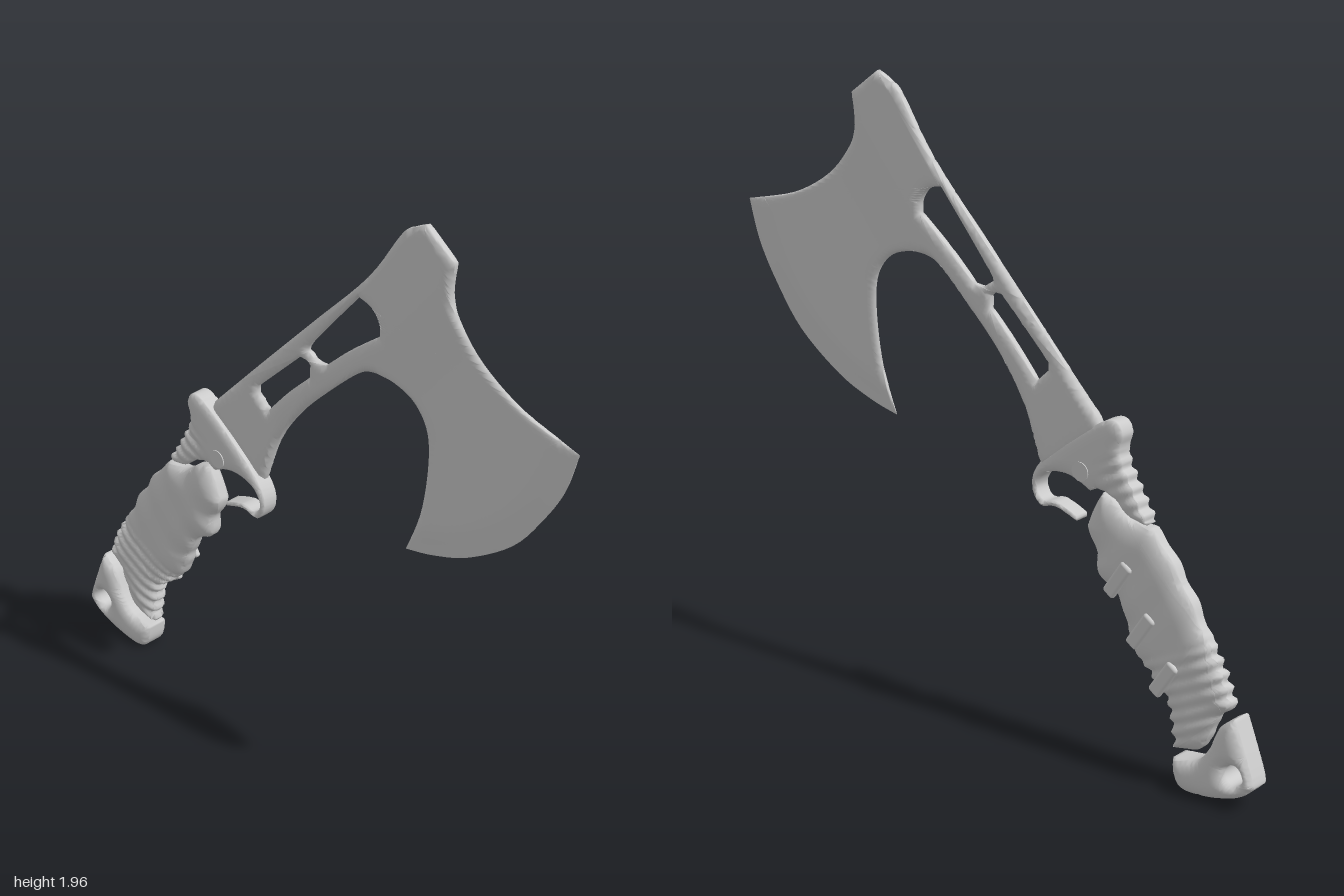
import * as THREE from 'three';
import { mergeVertices } from 'three/addons/utils/BufferGeometryUtils.js';
import { RoundedBoxGeometry } from 'three/addons/geometries/RoundedBoxGeometry.js';

const material = new THREE.MeshStandardMaterial({ color: 0xcccccc, roughness: 0.6 });
const { smoothstep } = THREE.MathUtils;

// Closed outline from runs of x,y pairs. Each run is a smooth curve that ends
// in a corner at the start of the next run.
function outline(...runs) {
  const out = [];
  runs.forEach((run, i) => {
    const flat = [...run, ...runs[(i + 1) % runs.length].slice(0, 2)];
    const pts = [];
    for (let k = 0; k < flat.length; k += 2) pts.push(new THREE.Vector2(flat[k], flat[k + 1]));
    const curve = pts.length > 2 ? new THREE.SplineCurve(pts).getPoints((pts.length - 1) * 5) : pts;
    out.push(...curve.slice(0, -1));
  });
  return out;
}

function circle(x, y, r) {
  return Array.from({ length: 24 }, (_, i) => {
    const a = (i / 24) * Math.PI * 2;
    return new THREE.Vector2(x + r * Math.cos(a), y + r * Math.sin(a));
  });
}

function distanceTo(loops, p) {
  let best = Infinity;
  for (const loop of loops) {
    loop.forEach((a, i) => {
      const b = loop[(i + 1) % loop.length];
      const dx = b.x - a.x, dy = b.y - a.y;
      const t = Math.min(1, Math.max(0, ((p.x - a.x) * dx + (p.y - a.y) * dy) / (dx * dx + dy * dy)));
      best = Math.min(best, Math.hypot(p.x - a.x - t * dx, p.y - a.y - t * dy));
    });
  }
  return best;
}

// Rounded shoulder: share of the full thickness at distance d from the rim
const shoulder = (d, width, rim) =>
  rim + (1 - rim) * Math.sqrt(1 - (1 - Math.min(d / width, 1)) ** 2);

// Fill an outline, subdivide it and swell it front and back.
// height(x, y, d) is the half thickness, place(x, y, z) the final position.
function inflate(outer, holes, step, height, place = (x, y, z) => [x, y, z]) {
  if (THREE.ShapeUtils.isClockWise(outer)) outer.reverse();
  holes.forEach((h) => { if (!THREE.ShapeUtils.isClockWise(h)) h.reverse(); });
  const loops = [outer, ...holes], points = loops.flat(), pos = [];
  const put = (p, side, d) => pos.push(...place(p.x, p.y, side * height(p.x, p.y, d)));
  const mid = (a, b) => new THREE.Vector2((a.x + b.x) / 2, (a.y + b.y) / 2);

  const fill = (a, b, c) => {
    const ab = a.distanceTo(b), bc = b.distanceTo(c), ca = c.distanceTo(a);
    const longest = Math.max(ab, bc, ca);
    if (longest > step) {
      if (longest === bc) [a, b, c] = [b, c, a];
      else if (longest === ca) [a, b, c] = [c, a, b];
      const m = mid(a, b);
      fill(a, m, c);
      fill(m, b, c);
      return;
    }
    const d = [a, b, c].map((p) => distanceTo(loops, p));
    [a, b, c].forEach((p, i) => put(p, 1, d[i]));
    [c, b, a].forEach((p, i) => put(p, -1, d[2 - i]));
  };
  for (const [i, j, k] of THREE.ShapeUtils.triangulateShape(outer, holes)) {
    const a = points[i], b = points[j], c = points[k];
    const area = (b.x - a.x) * (c.y - a.y) - (b.y - a.y) * (c.x - a.x);
    if (area > 0) fill(a, b, c);
    else fill(a, c, b);
  }

  const wall = (a, b) => {
    if (a.distanceTo(b) > step) {
      const m = mid(a, b);
      wall(a, m);
      wall(m, b);
      return;
    }
    [[a, -1], [b, -1], [b, 1], [a, -1], [b, 1], [a, 1]].forEach(([p, s]) => put(p, s, 0));
  };
  loops.forEach((l) => l.forEach((a, i) => wall(a, l[(i + 1) % l.length])));

  let geo = new THREE.BufferGeometry();
  geo.setAttribute('position', new THREE.Float32BufferAttribute(pos, 3));
  geo = mergeVertices(geo, 1e-5);
  geo.computeVertexNormals();
  return geo;
}

// Position along and across the handle axis
const along = (x, y) => x * 0.46 + y * 0.89;
const across = (x, y) => (x + 0.66) * 0.89 - (y - 0.5) * 0.46;

// Press grooves into a grip, on its faces and along its sides
const grooved = (groove, z0) => (x, y, z) => {
  const u = across(x, y), r = groove(along(x, y), u, x);
  return [x + 0.89 * u * r, y - 0.46 * u * r, z0 + z * (1 + r)];
};
const wave = (s, pitch) => 0.5 - 0.5 * Math.cos((s / pitch) * Math.PI * 2);

export function createModel() {
  const group = new THREE.Group();
  const add = (name, geo) => {
    const mesh = new THREE.Mesh(geo, material);
    mesh.name = name;
    group.add(mesh);
    return mesh;
  };

  // Axe head and skeleton shaft in one piece
  const head = outline(
    [0.44, 1.97],
    [0.545, 1.89, 0.535, 1.79, 0.56, 1.72, 0.65, 1.62, 0.8, 1.535],
    [1, 1.48, 0.96, 1.35, 0.89, 1.227, 0.786, 1.093, 0.626, 0.98, 0.49, 0.925],
    [0.385, 0.9, 0.44, 1.04, 0.465, 1.2, 0.46, 1.323, 0.41, 1.4, 0.33, 1.435, 0.25, 1.438,
      0.187, 1.408, 0.064, 1.296, -0.043, 1.184, -0.134, 1.05],
    [-0.2, 0.87],
    [-0.42, 1.04],
    [-0.406, 1.077, -0.203, 1.29, 0.01, 1.51, 0.225, 1.733, 0.348, 1.91, 0.39, 1.945],
  );
  const upperWindow = outline([0.19, 1.66, 0.24, 1.645, 0.27, 1.605], [0.273, 1.563, 0.16, 1.475],
    [0.064, 1.387, 0.03, 1.385], [0, 1.403, 0.005, 1.44]);
  const lowerWindow = outline([-0.043, 1.376, -0.015, 1.375], [0, 1.362], [0, 1.323, -0.09, 1.235],
    [-0.176, 1.138], [-0.22, 1.18], [-0.22, 1.205]);
  const headHeight = (x, y, d) => {
    const q = (x - 0.44) * 0.77 - (y - 1.9) * 0.64;
    const cheek = smoothstep(q, 0.1, 0.3);
    const toEdge = 0.73 - Math.hypot(x - 0.284, y - 1.623);
    const bevel = q > 0.3 ? 0.25 + 0.75 * smoothstep(toEdge, 0, 0.1) : 1;
    const socket = 0.005 * (1 - smoothstep(along(x, y), 0.8, 0.95));
    return (0.018 - 0.007 * cheek + socket) * bevel * shoulder(d, 0.03, 0.35);
  };
  add('axeHead', inflate(head, [upperWindow, lowerWindow], 0.02, headHeight,
    (x, y, z) => [x, y, z - 0.018 - 0.013 * x]));

  // Main grip with fine ribs low down and broad slanted swells above
  const grip = outline(
    [-0.912, 0.31, -0.87, 0.41, -0.813, 0.5, -0.738, 0.624, -0.66, 0.73],
    [-0.605, 0.785, -0.524, 0.792, -0.47, 0.83],
    [-0.417, 0.846, -0.385, 0.79],
    [-0.366, 0.736, -0.394, 0.667, -0.402, 0.603, -0.47, 0.55, -0.517, 0.48, -0.526, 0.42,
      -0.604, 0.33, -0.67, 0.267],
    [-0.7, 0.118, -0.782, 0.138, -0.822, 0.185, -0.86, 0.268],
  );
  add('grip', inflate(grip, [], 0.014, (x, y, d) => 0.046 * shoulder(d, 0.09, 0.25),
    grooved((s, u) => {
      const low = 1 - smoothstep(s, 0.03, 0.08);
      return -0.13 * low * wave(s, 0.042) - 0.07 * (1 - low) * wave(s + 0.4 * u, 0.13);
    }, 0)));

  // Raised pads on the back of the grip
  [[-0.505, 0.607], [-0.593, 0.469], [-0.68, 0.343]].forEach(([x, y]) => {
    const pad = add('gripPad', new RoundedBoxGeometry(0.045, 0.13, 0.022, 3, 0.01));
    pad.position.set(x, y, -0.042);
    pad.rotation.z = 0.58;
  });

  // Collar with ribbed back and open finger guard
  const collar = outline(
    [-0.603, 0.8, -0.56, 0.864, -0.495, 0.987, -0.503, 1.05, -0.476, 1.086, -0.417, 1.067,
      -0.283, 0.97, -0.187, 0.88, -0.166, 0.81, -0.198, 0.757, -0.257, 0.766],
    [-0.337, 0.742],
    [-0.335, 0.757, -0.26, 0.782, -0.21, 0.775, -0.184, 0.812, -0.212, 0.86, -0.27, 0.88, -0.33, 0.875],
    [-0.385, 0.85],
    [-0.412, 0.864, -0.475, 0.848, -0.53, 0.808],
  );
  add('collarGuard', inflate(collar, [], 0.012, (x, y, d) => 0.039 * shoulder(d, 0.05, 0.6),
    grooved((s, u, x) => -0.15 * wave(s, 0.042) * (1 - smoothstep(s, 0.62, 0.67))
      * (1 - smoothstep(x, -0.47, -0.4)), -0.004)));

  // Bolt through the collar
  const bolt = add('bolt', new THREE.CylinderGeometry(0.03, 0.03, 0.084, 24));
  bolt.rotation.x = Math.PI / 2;
  bolt.position.set(-0.36, 0.907, -0.004);

  // Pommel with lanyard hole
  const pommel = outline(
    [-0.928, 0.29, -0.878, 0.25, -0.842, 0.17, -0.795, 0.115],
    [-0.712, 0.098, -0.72, 0.04, -0.755, 0.008, -0.845, 0.014, -0.94, 0.043, -0.99, 0.08, -0.995, 0.117],
  );
  add('pommel', inflate(pommel, [circle(-0.93, 0.112, 0.032)], 0.014,
    (x, y, d) => 0.056 * shoulder(d, 0.05, 0.5)));

  return group;
}
